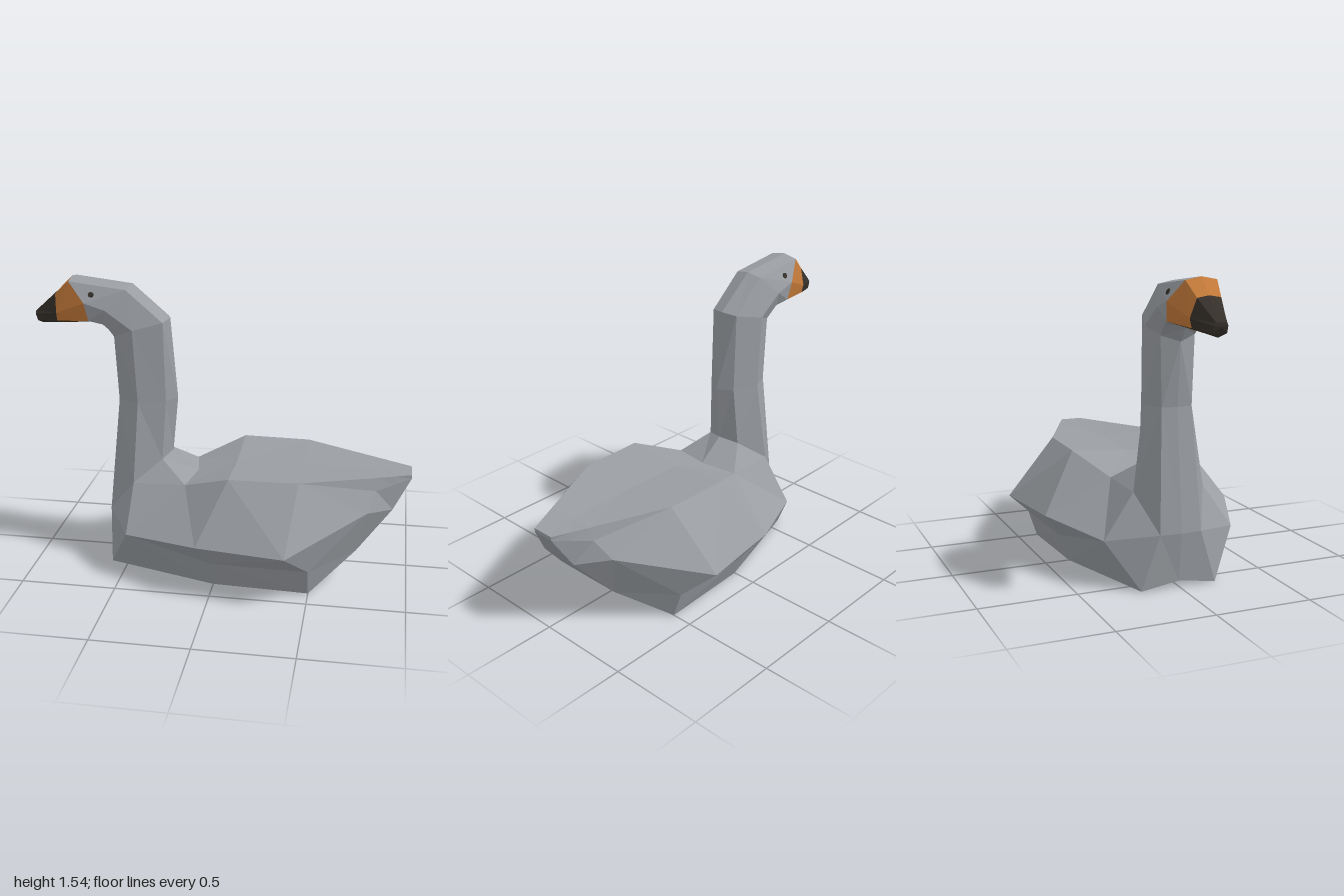
import * as THREE from 'three';

const mat = (name, color) => {
  const m = new THREE.MeshStandardMaterial({ color });
  m.name = name;
  return m;
};

// Skin half cross-sections (z >= 0) and mirror them; faceted triangles.
function shell(name, rings, material) {
  const out = [];
  const tri = (a, b, c) => {
    const [p, q, r] = [a, b, c].map(v => new THREE.Vector3(...v));
    if (q.clone().sub(p).cross(r.clone().sub(p)).length() < 1e-6) return;
    out.push(...a, ...b, ...c);
    for (const v of [a, c, b]) out.push(v[0], v[1], -v[2]);
  };
  const dist = (a, b) => Math.hypot(a[0] - b[0], a[1] - b[1], a[2] - b[2]);
  for (let i = 0; i < rings.length - 1; i++) {
    for (let j = 0; j < rings[i].length - 1; j++) {
      const a = rings[i][j], b = rings[i][j + 1], c = rings[i + 1][j + 1], d = rings[i + 1][j];
      if (dist(a, c) < dist(b, d)) { tri(a, d, c); tri(a, c, b); }
      else { tri(a, d, b); tri(b, d, c); }
    }
  }
  const g = new THREE.BufferGeometry();
  g.setAttribute('position', new THREE.Float32BufferAttribute(out, 3));
  g.computeVertexNormals();
  const mesh = new THREE.Mesh(g, material);
  mesh.name = name;
  return mesh;
}

export function createModel() {
  const grey = mat('grey feathers', 0x9a9ea3);
  const orange = mat('orange bill', 0xc47a3a);
  const brown = mat('dark brown bill underside', 0x50361c);
  const black = mat('black', 0x35302a);
  const model = new THREE.Group();
  model.name = 'waterBird';

  // Body, tail to chest: spine, shoulder, flank, wide line, chine, bottom edge, inner bottom, keel
  const body = [
    Array(8).fill([1, 0.55, 0]),
    [[1, 0.56, 0], [1, 0.56, 0.06], [1, 0.54, 0.06], [1, 0.54, 0.06],
      [1, 0.54, 0.06], [1, 0.54, 0.06], [1, 0.54, 0.06], [1, 0.54, 0]],
    [[0.91, 0.56, 0], [0.91, 0.563, 0.1], [0.91, 0.52, 0.11], [0.91, 0.38, 0.11],
      [0.91, 0.38, 0.11], [0.91, 0.38, 0.11], [0.91, 0.38, 0.11], [0.91, 0.4, 0]],
    [[0.82, 0.56, 0], [0.82, 0.566, 0.14], [0.82, 0.5, 0.16], [0.78, 0.41, 0.25],
      [0.73, 0.17, 0.2], [0.73, 0.17, 0.2], [0.73, 0.17, 0.2], [0.75, 0.19, 0]],
    [[0.43, 0.56, 0], [0.43, 0.58, 0.31], [0.43, 0.58, 0.31], [0.39, 0.28, 0.58],
      [0.5, 0.15, 0.44], [0.5, 0, 0.39], [0.5, 0, 0.2], [0.5, 0.03, 0]],
    [[0.07, 0.555, 0], [0.07, 0.58, 0.32], [0.07, 0.58, 0.32], [-0.07, 0.28, 0.52],
      [0, 0.15, 0.43], [0, 0, 0.37], [0, 0, 0.19], [0, 0.03, 0]],
    [[-0.14, 0.49, 0], [-0.18, 0.48, 0.2], [-0.18, 0.48, 0.2], [-0.47, 0.24, 0.35],
      [-0.47, 0.24, 0.35], [-0.59, 0, 0.2], [-0.59, 0, 0.1], [-0.59, 0.03, 0]],
  ];
  model.add(shell('body', body, grey));

  // Neck and head, chest to bill: back, back edge, side, front edge, throat
  const billBase = [[-0.8, 1.54, 0], [-0.8, 1.525, 0.08], [-0.71, 1.425, 0.13], [-0.69, 1.33, 0.12], [-0.66, 1.3, 0]];
  const neck = [
    [[-0.14, 0.49, 0], [-0.18, 0.48, 0.2], [-0.47, 0.24, 0.35], [-0.59, 0, 0.2], [-0.59, 0.03, 0]],
    [[-0.28, 0.6, 0], [-0.32, 0.58, 0.1], [-0.46, 0.47, 0.19], [-0.61, 0.28, 0.11], [-0.62, 0.28, 0]],
    [[-0.25, 0.9, 0], [-0.3, 0.9, 0.08], [-0.44, 0.9, 0.13], [-0.55, 0.9, 0.08], [-0.56, 0.9, 0]],
    [[-0.285, 1.335, 0], [-0.31, 1.325, 0.08], [-0.46, 1.29, 0.13], [-0.555, 1.25, 0.09], [-0.59, 1.22, 0]],
    [[-0.49, 1.505, 0], [-0.5, 1.49, 0.08], [-0.6, 1.39, 0.13], [-0.62, 1.31, 0.1], [-0.645, 1.29, 0]],
    billBase,
  ];
  model.add(shell('neckAndHead', neck, grey));

  // Bill: orange sides, dark underside, black tip
  const billMid = [[-0.88, 1.46, 0], [-0.88, 1.45, 0.06], [-0.87, 1.36, 0.09], [-0.87, 1.315, 0.08], [-0.86, 1.285, 0]];
  const billEnd = [[-1, 1.35, 0], [-1, 1.35, 0.025], [-1, 1.335, 0.035], [-0.99, 1.3, 0.035], [-0.97, 1.28, 0]];
  const bill = [billBase, billMid];
  model.add(shell('bill', bill.map(r => r.slice(0, 4)), orange));
  model.add(shell('billUnderside', bill.map(r => r.slice(3)), brown));
  model.add(shell('billTip', [billMid, billEnd, Array(5).fill([-1, 1.33, 0])], black));

  // Eyes
  for (const s of [1, -1]) {
    const eye = new THREE.Mesh(new THREE.CylinderGeometry(0.015, 0.015, 0.009, 8), black);
    eye.name = s > 0 ? 'leftEye' : 'rightEye';
    eye.position.set(-0.675, 1.465, s * 0.106);
    eye.quaternion.setFromUnitVectors(new THREE.Vector3(0, 1, 0), new THREE.Vector3(0, 0.45, s * 0.9).normalize());
    model.add(eye);
  }
  return model;
}
